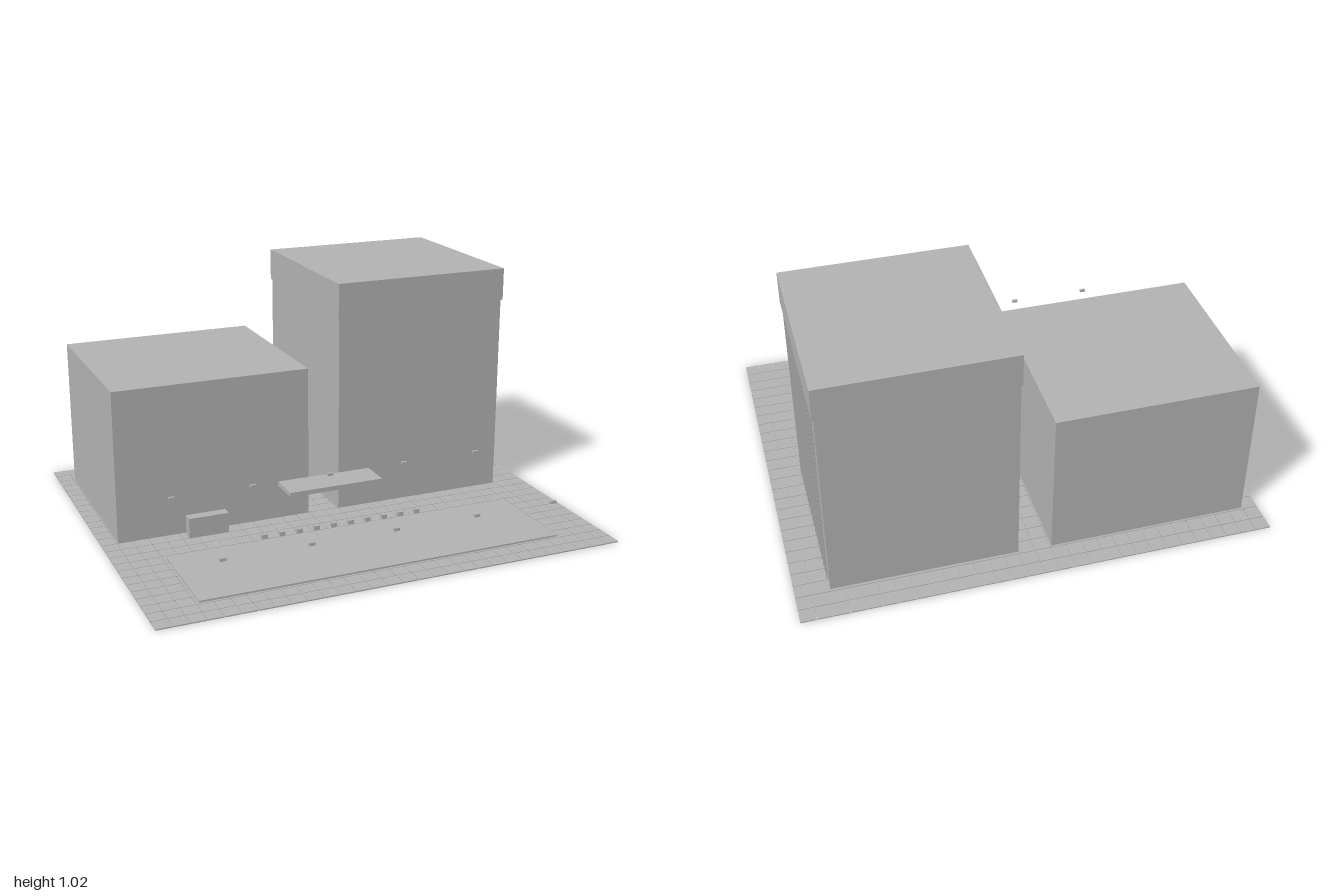
import * as THREE from 'three';
import { mergeGeometries } from 'three/addons/utils/BufferGeometryUtils.js';

// Box spanning [x0,x1] x [y0,y1] x [z0,z1]
function span(x0, x1, y0, y1, z0, z1) {
  return new THREE.BoxGeometry(x1 - x0, y1 - y0, z1 - z0)
    .translate((x0 + x1) / 2, (y0 + y1) / 2, (z0 + z1) / 2);
}

// Box given by its centre and size
function block(x, y, z, w, h, d) {
  return new THREE.BoxGeometry(w, h, d).translate(x, y, z);
}

export function createModel() {
  const model = new THREE.Group();
  model.name = 'twinBuildingPlaza';
  const concrete = new THREE.MeshStandardMaterial({ color: 0xb2b2b2 });
  concrete.name = 'concrete grey';

  function add(name, ...geometries) {
    const mesh = new THREE.Mesh(mergeGeometries(geometries), concrete);
    mesh.name = name;
    model.add(mesh);
  }

  // Paving: 30 x 26 slabs with narrow open joints
  const columns = 30, rows = 26, joint = 0.003;
  const pitchX = (2 + joint) / columns, pitchZ = (1.716 + joint) / rows;
  const slabs = [];
  for (let i = 0; i < columns; i++) {
    for (let j = 0; j < rows; j++) {
      slabs.push(block(
        (i - (columns - 1) / 2) * pitchX, 0.0025, (j - (rows - 1) / 2) * pitchZ,
        pitchX - joint, 0.005, pitchZ - joint));
    }
  }
  add('pavingSlabs', ...slabs);

  // Low building
  add('lowBuilding', span(-0.93, -0.073, 0.004, 0.665, -0.718, 0.069));

  // Tower with an overhanging roof band
  add('tower', span(0.069, 0.856, 0.004, 0.882, -0.715, 0.072));
  add('towerRoofBand', span(0.064, 0.863, 0.88, 1.022, -0.722, 0.078));

  // Thin vertical fins on the outer side of the tower
  const fins = [];
  for (let i = 0; i < 18; i++) {
    fins.push(block(0.857, 0.442, 0.009 - i * 0.0389, 0.008, 0.876, 0.005));
  }
  add('towerFins', ...fins);

  // Entrance canopy between the buildings
  add('entranceCanopy', span(-0.215, 0.215, 0.153, 0.173, 0.07, 0.214));

  // Freestanding block by the low building
  add('forecourtBlock', span(-0.64, -0.465, 0.004, 0.093, 0.089, 0.135));

  // Raised terrace in the forecourt
  add('terrace', span(-0.788, 0.788, 0.003, 0.012, 0.283, 0.716));

  // Row of bollards behind the terrace
  const bollards = [];
  for (let i = 0; i < 10; i++) {
    bollards.push(block((i - 4.5) * 0.079, 0.021, 0.267, 0.025, 0.018, 0.02));
  }
  add('bollards', ...bollards);

  // Two rows of floating lamp heads
  const lamps = [];
  for (const z of [0.141, 0.787]) {
    for (let i = -2; i <= 2; i++) lamps.push(block(i * 0.357, 0.2, z, 0.025, 0.012, 0.012));
  }
  add('lampHeads', ...lamps);

  return model;
}
